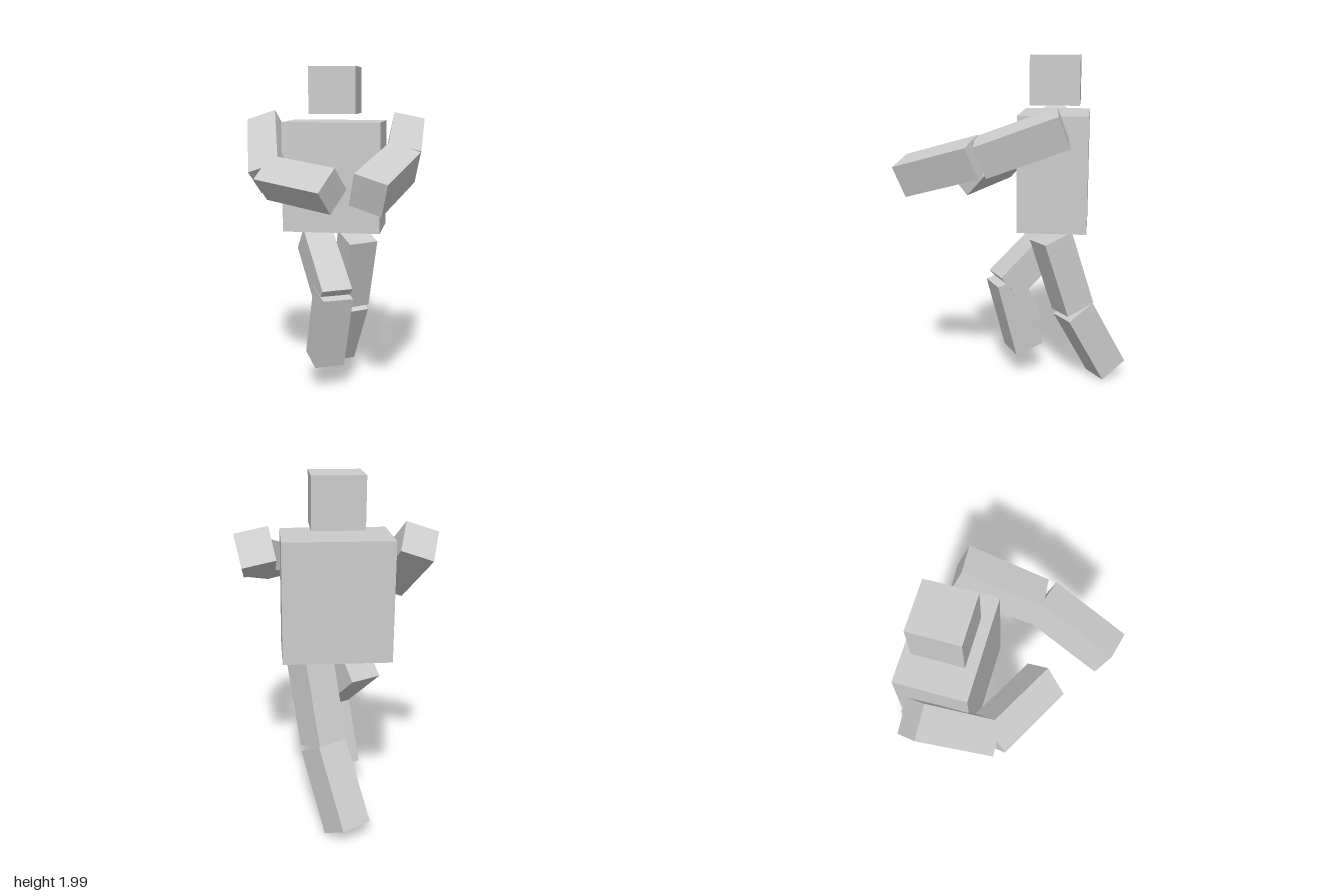
import * as THREE from 'three';

const material = new THREE.MeshStandardMaterial({ color: 0xcccccc, flatShading: true });
const LIMB = 0.19;

function addBox(parent, name, size) {
  const mesh = new THREE.Mesh(new THREE.BoxGeometry(...size), material);
  mesh.name = name;
  parent.add(mesh);
  return mesh;
}

// Square limb segment running from one joint to the next; side sets its twist
function addSegment(parent, name, from, to, side) {
  const a = new THREE.Vector3(...from);
  const b = new THREE.Vector3(...to);
  const y = a.clone().sub(b);
  const mesh = addBox(parent, name, [LIMB, y.length(), LIMB]);
  y.normalize();
  const x = new THREE.Vector3(...side);
  x.addScaledVector(y, -x.dot(y)).normalize();
  const z = x.clone().cross(y);
  mesh.quaternion.setFromRotationMatrix(new THREE.Matrix4().makeBasis(x, y, z));
  mesh.position.copy(a).add(b).multiplyScalar(0.5);
}

export function createModel() {
  const model = new THREE.Group();
  model.name = 'blockFigure';

  // Torso and floating head, turned together toward the right
  const body = new THREE.Group();
  body.name = 'body';
  body.position.set(0.052, 0, -0.29);
  body.rotation.y = -0.56;
  model.add(body);
  addBox(body, 'torso', [0.6, 0.67, 0.4]).position.y = 1.335;
  addBox(body, 'head', [0.287, 0.283, 0.287]).position.y = 1.858;

  // Posed limbs: name, start, end, side direction
  const limbs = [
    ['leftUpperArm', [0.457, 1.619, -0.115], [0.221, 1.454, 0.269], [0.163, -0.037, 0.084]],
    ['leftForearm', [0.217, 1.457, 0.285], [-0.138, 1.325, 0.58], [0.127, -0.054, 0.135]],
    ['rightUpperArm', [-0.302, 1.638, -0.573], [-0.412, 1.344, -0.209], [0.155, 0.061, 0.096]],
    ['rightForearm', [-0.415, 1.346, -0.215], [-0.174, 1.3, 0.194], [0.126, 0.13, -0.058]],
    ['leftThigh', [0.165, 0.948, -0.205], [0.178, 0.492, -0.358], [1, 0, -0.03]],
    ['leftShin', [0.18, 0.475, -0.36], [0.188, 0.058, -0.602], [1, 0, -0.03]],
    ['rightThigh', [-0.06, 0.925, -0.38], [-0.078, 0.607, -0.017], [1, 0, 0.05]],
    ['rightShin', [-0.08, 0.647, -0.027], [-0.085, 0.186, -0.154], [1, 0, 0.05]],
  ];
  for (const [name, from, to, side] of limbs) addSegment(model, name, from, to, side);

  return model;
}
